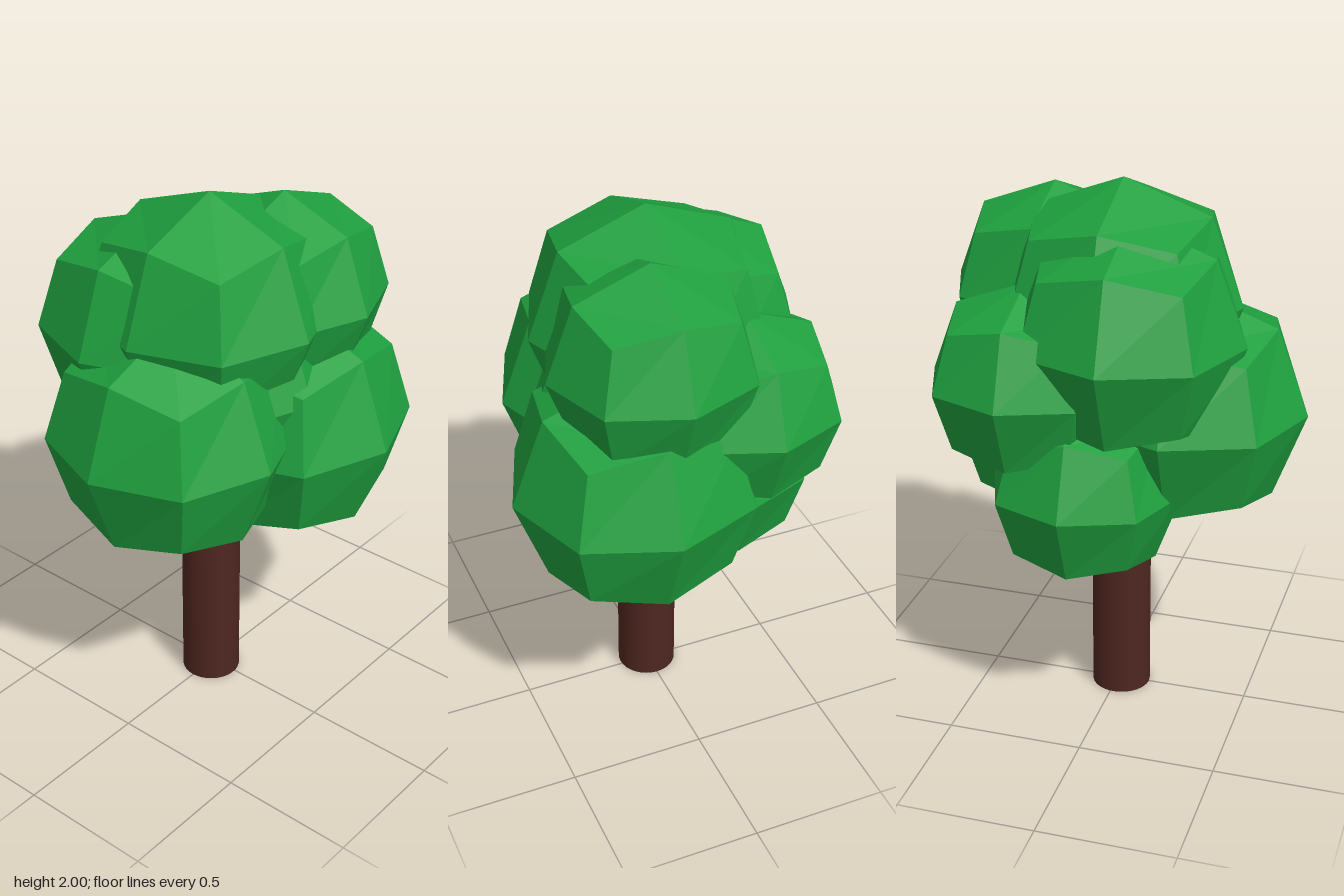
import * as THREE from 'three';

// Unit leaf clump: a cube split 2 x 2 per side, rounded by pulling in edges and corners
function clumpGeometry() {
  const geo = new THREE.BoxGeometry(2, 2, 2, 2, 2, 2);
  const pull = [1, 1, 0.73, 0.6]; // by kind of point: side centre, edge middle, corner
  const pos = geo.attributes.position;
  const v = new THREE.Vector3();
  for (let i = 0; i < pos.count; i++) {
    v.fromBufferAttribute(pos, i);
    const kind = Math.round(v.lengthSq());
    v.multiplyScalar(pull[kind]);
    pos.setXYZ(i, v.x, v.y, v.z);
  }
  const flat = geo.toNonIndexed();
  flat.computeVertexNormals();
  return flat;
}

export function createModel() {
  const tree = new THREE.Group();
  tree.name = 'tree';
  const bark = new THREE.MeshStandardMaterial({ color: 0x4e2620 });
  const leaf = new THREE.MeshStandardMaterial({ color: 0x1fa03f, flatShading: true });

  // Trunk, reaching up into the crown
  const trunk = new THREE.Mesh(new THREE.CylinderGeometry(0.11, 0.11, 1.2, 32), bark);
  trunk.name = 'trunk';
  trunk.position.set(-0.013, 0.6, 0);
  tree.add(trunk);

  // Crown of overlapping clumps: name, x, y, z, radius
  const crown = new THREE.Group();
  crown.name = 'crown';
  const geo = clumpGeometry();
  const clumps = [
    ['topClump', -0.02, 1.57, 0, 0.43],
    ['upperFrontLeftClump', 0.26, 1.57, 0.1, 0.37],
    ['lowerFrontLeftClump', 0.235, 1.09, 0.155, 0.442],
    ['rightClump', -0.255, 1.18, 0.03, 0.432],
    ['backLeftClump', 0.255, 1.328, -0.247, 0.348],
    ['upperBackClump', -0.09, 1.49, -0.168, 0.414],
    ['lowerBackClump', 0.045, 0.943, -0.237, 0.348],
    ['coreClump', 0.02, 1.31, 0.02, 0.405],
  ];
  for (const [name, x, y, z, r] of clumps) {
    const clump = new THREE.Mesh(geo, leaf);
    clump.name = name;
    clump.position.set(x, y, z);
    clump.scale.setScalar(r);
    crown.add(clump);
  }
  tree.add(crown);
  return tree;
}
